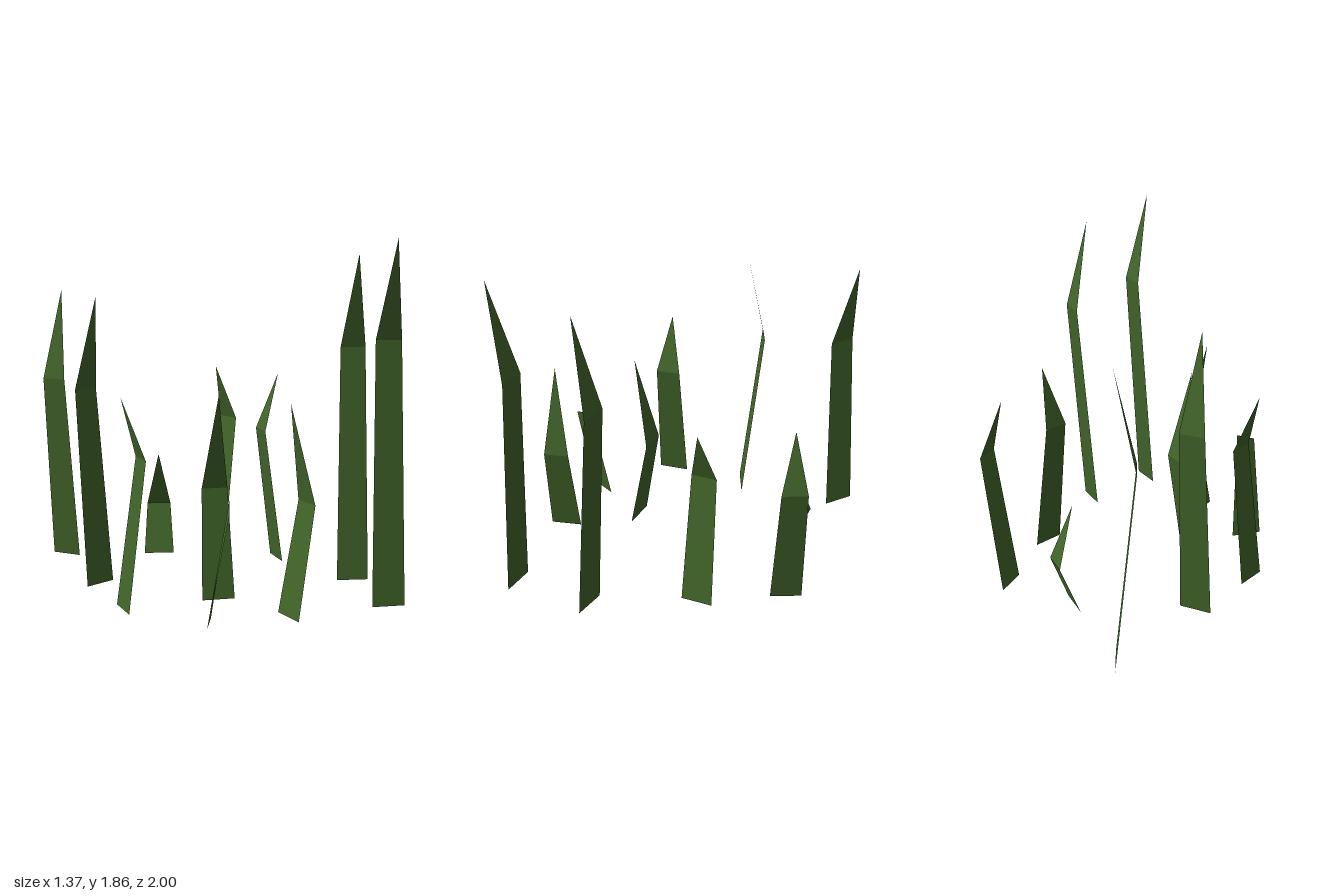
import * as THREE from 'three';

const BASE = 0.086;   // half width at the ground
const BEND = 0.0685;  // half width at the fold
const LEAN = 0.105;   // how far the fold leans out

const grass = new THREE.MeshStandardMaterial({ color: 0x42662a, side: THREE.DoubleSide, flatShading: true });
grass.name = 'grass green';

// Flat-shaded sheet from a list of triangles (corner triples)
function sheet(...corners) {
  const geo = new THREE.BufferGeometry();
  geo.setAttribute('position', new THREE.Float32BufferAttribute(corners.flat(), 3));
  geo.computeVertexNormals();
  return geo;
}

// Folded blade: the stem leans towards local +x, the tip returns above the base
function bladeGeometry(fold, height) {
  const a = [0, 0, BASE], b = [0, 0, -BASE];
  const c = [LEAN, fold, -BEND], d = [LEAN, fold, BEND];
  const tip = [0, height, 0];
  return sheet(a, b, c, a, c, d, d, c, tip);
}

// Blade cut off at the fold
function cutBladeGeometry() {
  const a = [0, 0, BASE], b = [0, 0, -BASE];
  const c = [0.094, 0.612, -0.044], d = [0.106, 0.57, 0.067];
  return sheet(a, b, c, a, c, d);
}

// x, z, lean direction in degrees (from +x towards +z), fold height, tip height
const blades = [
  [-0.303, -0.923, 155.5, 1.06, 1.56],
  [0.11, -0.563, -50, 0.28, 0.6],
  [0.528, -0.521, 0, 0.77, 1.09],
  [-0.492, -0.34, -90, 1.06, 1.56],
  [0.562, -0.033, -158, 0.77, 1.09],
  [-0.659, 0.073, 17, 0.77, 1.09],
  [-0.197, 0.287, -59, 0.57, 1.075],
  [0.568, 0.545, -53, 1.275, 1.775],
  [-0.121, 0.715, 10, 0.57, 1.075],
  [0.373, 0.95, -57, 1.355, 1.86],
];

export function createModel() {
  const group = new THREE.Group();
  group.name = 'grassTuft';

  function place(name, geo, x, z, degrees) {
    const mesh = new THREE.Mesh(geo, grass);
    mesh.name = name;
    mesh.position.set(x, 0, z);
    mesh.rotation.y = -THREE.MathUtils.degToRad(degrees);
    group.add(mesh);
  }

  blades.forEach(([x, z, degrees, fold, height], i) =>
    place(`blade${i + 1}`, bladeGeometry(fold, height), x, z, degrees));
  place('cutBlade', cutBladeGeometry(), -0.475, 0.518, 49);

  return group;
}
